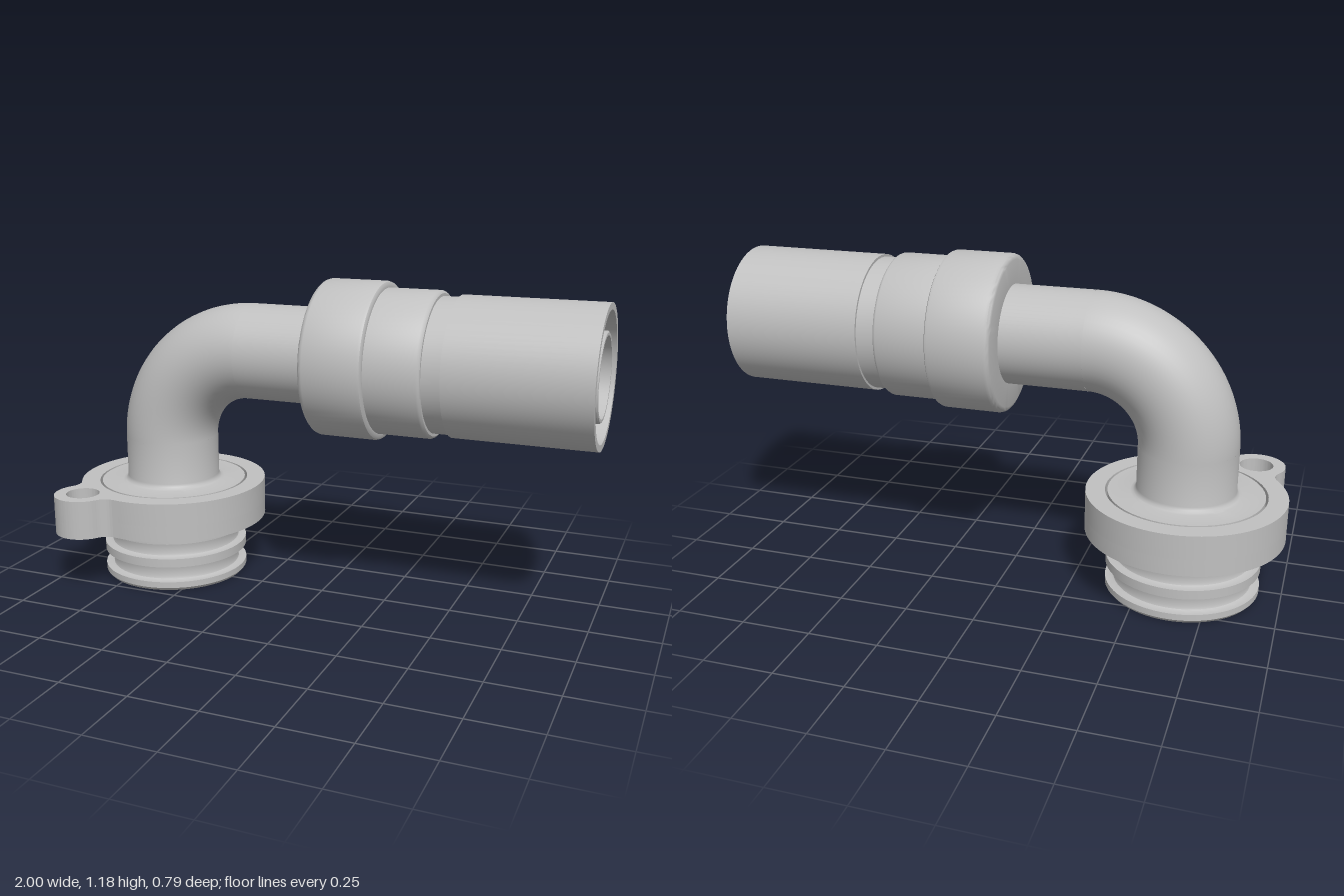
import * as THREE from 'three';
import { toCreasedNormals } from 'three/addons/utils/BufferGeometryUtils.js';

const AXIS_X = -0.643, AXIS_Z = -0.037, AXIS_Y = 0.898; // pipe centre lines
const PIPE = 0.177, BORE = 0.14, BEND = 0.35;

export function createModel() {
  const group = new THREE.Group();
  const metal = new THREE.MeshStandardMaterial({ color: 0xc0c0c0, side: THREE.DoubleSide });
  metal.name = 'light grey metal';

  const add = (name, geometry, x, y) => {
    const mesh = new THREE.Mesh(geometry, metal);
    mesh.name = name;
    mesh.position.set(x, y, AXIS_Z);
    group.add(mesh);
    return mesh;
  };
  // turned part from [radius, height] pairs, listed up the outside and down the bore
  const turned = (profile) => toCreasedNormals(
    new THREE.LatheGeometry(profile.map(([r, h]) => new THREE.Vector2(r, h)), 80), 0.6);

  // lower spigot with two seal grooves, riser and tapered bore
  const groove = (lo, hi) => [
    [0.278, lo], [0.255, lo], [0.248, lo + 0.004], [0.245, lo + 0.012],
    [0.245, hi - 0.012], [0.248, hi - 0.004], [0.255, hi], [0.278, hi],
  ];
  add('spigot', turned([
    [0.22, 0], [0.268, 0], [0.278, 0.012],
    ...groove(0.035, 0.095), ...groove(0.128, 0.187),
    [0.278, 0.372], [0.197, 0.372], [0.187, 0.375], [0.18, 0.382], [PIPE, 0.392],
    [PIPE, AXIS_Y - BEND],
  ]), AXIS_X, 0);
  add('spigotBore', turned([
    [BORE, AXIS_Y - BEND], [BORE, 0.38], [0.16, 0.3], [0.205, 0.15], [0.22, 0],
  ]), AXIS_X, 0);

  // quarter bend, outside and bore
  const bend = (r) => new THREE.TorusGeometry(BEND, r, 48, 40, Math.PI / 2).rotateZ(Math.PI / 2);
  add('elbow', bend(PIPE), AXIS_X + BEND, AXIS_Y - BEND);
  add('elbowBore', bend(BORE), AXIS_X + BEND, AXIS_Y - BEND);

  // straight outlet pipe with barbed hose tail
  const start = AXIS_X + BEND;
  add('outletPipe', turned([
    [PIPE, start], [PIPE, 0.6], [0.2, 0.6], [0.2, 0.68], [0.175, 0.78],
    [0.175, 0.86], [0.155, 0.92], [0.155, 0.99], [0.15, 0.995], [BORE, 0.995], [BORE, start],
  ]), 0, AXIS_Y).rotation.z = -Math.PI / 2;

  // stepped collar and crimp sleeve
  add('collarSleeve', turned([
    [PIPE, 0], [0.263, 0], [0.273, 0.003], [0.28, 0.01], [0.283, 0.02],
    [0.283, 0.218], [0.28, 0.227], [0.272, 0.232], [0.26, 0.232],
    [0.26, 0.418], [0.257, 0.425], [0.25, 0.43], [0.24, 0.43],
    [0.24, 0.498], [0.249, 0.498], [0.249, 1], [0.225, 1], [0.225, 0.5], [PIPE, 0.5],
  ]), 0, AXIS_Y).rotation.z = -Math.PI / 2;

  // clamp flange: round plate blended into a bolt ear
  const R = 0.357, r = 0.107, f = 0.06;
  const earX = -0.212, earZ = 0.322, d = Math.hypot(earX, earZ);
  const a = Math.acos(((R + f) ** 2 + d * d - (r + f) ** 2) / (2 * d * (R + f)));
  const fx = (R + f) * Math.cos(a), fy = (R + f) * Math.sin(a);
  const e = Math.atan2(fy, d - fx);
  const plate = (hole, height) => {
    const shape = new THREE.Shape();
    shape.absarc(0, 0, R, a, 2 * Math.PI - a, false);
    shape.absarc(fx, -fy, f, Math.PI - a, e, true);
    shape.absarc(d, 0, r, e - Math.PI, Math.PI - e, false);
    shape.absarc(fx, fy, f, -e, a - Math.PI, true);
    shape.holes.push(new THREE.Path().absarc(0, 0, hole, 0, Math.PI * 2, true));
    shape.holes.push(new THREE.Path().absarc(d, 0, 0.062, 0, Math.PI * 2, true));
    const g = new THREE.ExtrudeGeometry(shape, { depth: height, bevelEnabled: false, curveSegments: 40 });
    g.rotateZ(Math.atan2(-earZ, earX)).rotateX(-Math.PI / 2);
    return toCreasedNormals(g, 0.6);
  };
  add('flangeLower', plate(0.31, 0.06), AXIS_X, 0.225);
  add('flangeUpper', plate(0.287, 0.087), AXIS_X, 0.285);

  return group;
}
